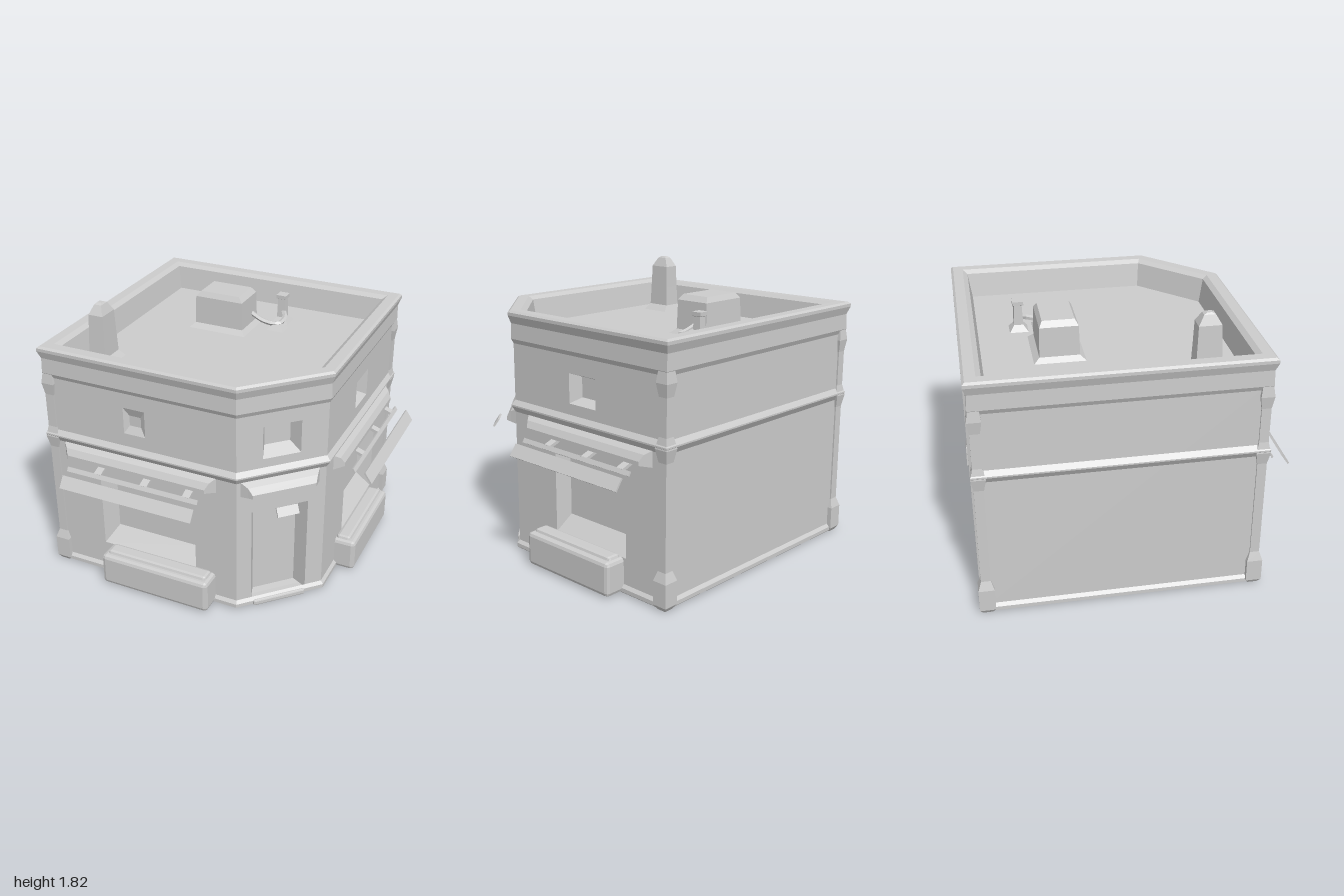
import * as THREE from 'three';
import { RoundedBoxGeometry } from 'three/addons/geometries/RoundedBoxGeometry.js';

const mat = new THREE.MeshStandardMaterial({ color: 0xcccccc, flatShading: true });

function add(parent, name, geometry, x = 0, y = 0, z = 0) {
  const m = new THREE.Mesh(geometry, mat);
  m.name = name;
  m.position.set(x, y, z);
  parent.add(m);
  return m;
}

// Skin a series of equal-length loops, optionally closing the last one
function loft(loops, cap = true) {
  const pos = [];
  const tri = (a, b, c) => pos.push(...a, ...b, ...c);
  const n = loops[0].length;
  for (let i = 0; i + 1 < loops.length; i++) {
    for (let j = 0; j < n; j++) {
      const k = (j + 1) % n, [p, q] = [loops[i], loops[i + 1]];
      tri(p[j], p[k], q[k]);
      tri(p[j], q[k], q[j]);
    }
  }
  const end = loops[loops.length - 1];
  if (cap) for (let j = 1; j < n - 1; j++) tri(end[0], end[j], end[j + 1]);
  const g = new THREE.BufferGeometry();
  g.setAttribute('position', new THREE.Float32BufferAttribute(pos, 3));
  g.computeVertexNormals();
  return g;
}

// Footprint with one cut corner, inset by d, at height y
function outline(d, y) {
  const lo = -1 + d, hi = 0.8 - d, cut = 0.36 - 0.414 * d;
  return [[lo, y, hi], [cut, y, hi], [hi, y, cut], [hi, y, lo], [lo, y, lo]];
}
const band = (levels, cap) => loft(levels.map(([d, y]) => outline(d, y)), cap);

// Stacked rectangles [width, depth, y] around a vertical axis
const tower = levels => loft(levels.map(([w, d, y]) =>
  [[-w / 2, y, d / 2], [w / 2, y, d / 2], [w / 2, y, -d / 2], [-w / 2, y, -d / 2]]));

const rect = ([u0, u1, y0, y1], z) => [[u0, y0, z], [u1, y0, z], [u1, y1, z], [u0, y1, z]];

// One wall between two footprint corners; openings are { outer, inner, depth, name }
function facade(parent, name, a, b, openings = []) {
  const g = new THREE.Group();
  g.name = name;
  const dx = b[0] - a[0], dz = b[2] - a[2], len = Math.hypot(dx, dz);
  g.position.set(a[0], 0, a[2]);
  g.rotation.y = Math.atan2(-dz, dx);
  parent.add(g);
  const shape = new THREE.Shape(rect([0, len, 0.03, 1.45], 0).map(p => new THREE.Vector2(p[0], p[1])));
  for (const o of openings) {
    shape.holes.push(new THREE.Path(rect(o.outer, 0).map(p => new THREE.Vector2(p[0], p[1]))));
    add(g, o.name, loft([rect(o.outer, 0), rect(o.inner, -o.depth)]));
  }
  add(g, 'wall', new THREE.ShapeGeometry(shape));
  return g;
}

// Ledge with sloping top and tapered ends
function ledge(g, u0, u1, out) {
  add(g, 'ledge', loft([
    rect([u0, u1, 0.85, 0.96], -0.01),
    rect([u0 + 0.04, u1 - 0.04, 0.86, 0.93], out * 0.6),
    rect([u0 + 0.06, u1 - 0.06, 0.865, 0.89], out)]));
}

// Tilted awning slat hanging in front of the wall
function slat(g, name, u0, u1, y, z, height, tilt) {
  add(g, name, new THREE.BoxGeometry(u1 - u0, height, 0.012), (u0 + u1) / 2, y, z).rotation.x = tilt;
}

function shopFront(g, u0, u1) {
  ledge(g, u0, u1, 0.06);
  slat(g, 'awningRail', u0 + 0.09, u1 - 0.08, 0.825, 0.11, 0.03, -0.5);
  slat(g, 'awningFront', u0 + 0.1, u1 - 0.07, 0.785, 0.205, 0.085, -0.6);
  for (const t of [0.28, 0.58, 0.85]) {
    const bracket = add(g, 'awningBracket', new THREE.BoxGeometry(0.05, 0.02, 0.12),
      u0 + t * (u1 - u0), 0.85, 0.05);
    bracket.rotation.x = 0.35;
  }
}

function planter(g, u0, u1) {
  add(g, 'planter', new RoundedBoxGeometry(u1 - u0, 0.22, 0.18, 1, 0.025), (u0 + u1) / 2, 0.12, 0.05);
  add(g, 'planterRim', new RoundedBoxGeometry(u1 - u0 - 0.05, 0.05, 0.1, 1, 0.02), (u0 + u1) / 2, 0.225, 0.05);
}

export function createModel() {
  const model = new THREE.Group();
  model.name = 'cornerShop';
  const c = outline(0.03, 0);

  // Walls
  const front = facade(model, 'frontFacade', c[0], c[1], [
    { name: 'shopWindow', outer: [0.35, 1.03, 0.23, 0.76], inner: [0.41, 0.99, 0.33, 0.74], depth: 0.1 },
    { name: 'wallDent', outer: [0.55, 0.7, 1.12, 1.3], inner: [0.58, 0.66, 1.17, 1.24], depth: 0.025 }]);
  const corner = facade(model, 'cornerFacade', c[1], c[2], [
    { name: 'doorway', outer: [0.1, 0.48, 0.04, 0.72], inner: [0.15, 0.44, 0.05, 0.7], depth: 0.1 },
    { name: 'cornerWindow', outer: [0.17, 0.42, 1.09, 1.31], inner: [0.21, 0.38, 1.14, 1.27], depth: 0.08 }]);
  const right = facade(model, 'rightFacade', c[2], c[3], [
    { name: 'shopWindow', outer: [0.38, 1.0, 0.23, 0.75], inner: [0.41, 0.97, 0.33, 0.73], depth: 0.1 },
    { name: 'upperWindow', outer: [0.52, 0.75, 1.1, 1.29], inner: [0.55, 0.72, 1.13, 1.26], depth: 0.08 }]);
  facade(model, 'backFacade', c[3], c[4]);
  facade(model, 'leftFacade', c[4], c[0]);

  // Base, belt course and roof with parapet
  add(model, 'base', loft([[0.03, 0.06], [0.012, 0.04], [0.012, 0.015], [0.03, 0]]
    .map(([d, y]) => outline(d, y).reverse())));
  add(model, 'beltCourse', band([[0.03, 0.95], [0.005, 0.99], [0.005, 1.0], [0.03, 1.03]], false));
  add(model, 'parapetAndRoof', band([[0.03, 1.4], [0.015, 1.43], [0.018, 1.53], [0, 1.58], [0, 1.6],
    [0.015, 1.612], [0.08, 1.612], [0.11, 1.59], [0.135, 1.43]], true));

  // Corner posts with wider feet
  for (const [x, z] of [[-0.95, 0.75], [0.75, -0.95], [-0.95, -0.95]]) {
    add(model, 'cornerPost', tower([[0.06, 0.06, 0], [0.1, 0.1, 0.03], [0.1, 0.1, 0.18],
      [0.06, 0.06, 0.24], [0.06, 0.06, 0.9], [0.09, 0.09, 0.98], [0.06, 0.06, 1.05],
      [0.06, 0.06, 1.28], [0.085, 0.085, 1.36], [0.06, 0.06, 1.45]]), x, 0, z);
  }

  // Shop fronts on the two street sides
  shopFront(front, 0.09, 1.19);
  planter(front, 0.4, 1.17);
  shopFront(right, 0.12, 1.22);
  planter(right, 0.25, 0.98);

  // Corner entrance
  ledge(corner, 0.02, 0.56, 0.07);
  slat(corner, 'doorAwning', 0.2, 0.34, 0.8, 0.164, 0.06, -0.6);
  add(corner, 'doorstep', new RoundedBoxGeometry(0.36, 0.04, 0.1, 1, 0.01), 0.29, 0.025, -0.02);

  // Roof unit, chimney and pipework
  add(model, 'roofUnit', tower([[0.41, 0.32, 1.43], [0.35, 0.25, 1.46], [0.34, 0.24, 1.65],
    [0.28, 0.2, 1.685]]), -0.265, 0, -0.395);
  add(model, 'chimney', tower([[0.2, 0.2, 1.43], [0.12, 0.16, 1.47], [0.11, 0.15, 1.6], [0.1, 0.14, 1.75],
    [0.05, 0.07, 1.81], [0.03, 0.03, 1.82]]), -0.74, 0, 0.44);
  add(model, 'ventPost', tower([[0.12, 0.12, 1.43], [0.06, 0.06, 1.47], [0.05, 0.05, 1.6],
    [0.07, 0.07, 1.605], [0.07, 0.07, 1.63]]), 0.07, 0, -0.6);
  const path = new THREE.CatmullRomCurve3([[-0.1, 1.52, -0.45], [0.0, 1.48, -0.44], [0.1, 1.47, -0.46],
    [0.11, 1.49, -0.54], [0.07, 1.52, -0.6]].map(p => new THREE.Vector3(...p)));
  add(model, 'roofPipe', new THREE.TubeGeometry(path, 12, 0.017, 5));
  add(model, 'pipeFoot', tower([[0.12, 0.1, 1.43], [0.05, 0.04, 1.47]]), 0.09, 0, -0.46);

  return model;
}
